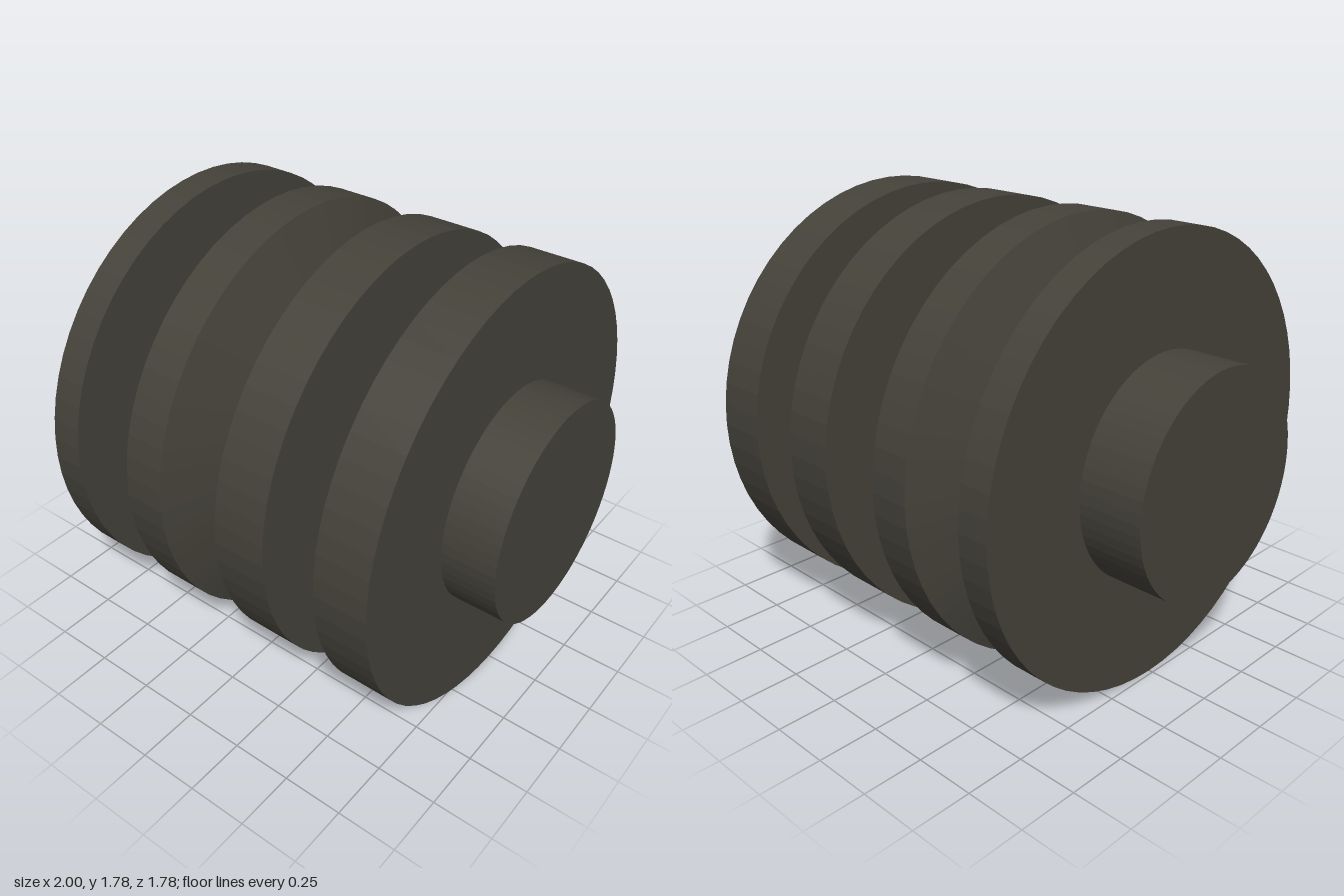
import * as THREE from 'three';

const SIDES = 64;
const DISC_R = 0.889;
const SHAFT_R = 0.4445;

export function createModel() {
  const group = new THREE.Group();
  const material = new THREE.MeshStandardMaterial({ color: 0x45423a, flatShading: true });

  // Round section along x from x0 (radius r0) to x1 (radius r1)
  function section(name, x0, x1, r0, r1 = r0, open = false, parent = group) {
    const geometry = new THREE.CylinderGeometry(r1, r0, x1 - x0, SIDES, 1, open);
    geometry.rotateZ(-Math.PI / 2);
    geometry.translate((x0 + x1) / 2, DISC_R, 0);
    const mesh = new THREE.Mesh(geometry, material);
    mesh.name = name;
    parent.add(mesh);
  }

  // Shaft running the full length
  section('shaft', -1, 1, SHAFT_R);

  // Flat discs
  section('thinDisc', -0.733, -0.6, DISC_R);
  section('middleDisc', 0.111, 0.333, DISC_R);
  section('endDisc', 0.556, 0.778, DISC_R);

  // Bevelled disc: flat rim with a cone on each side down to the shaft
  const bevelled = new THREE.Group();
  bevelled.name = 'bevelledDisc';
  section('rightCone', -0.467, -0.333, SHAFT_R, DISC_R, true, bevelled);
  section('rim', -0.333, -0.16, DISC_R, DISC_R, true, bevelled);
  section('leftCone', -0.16, -0.022, DISC_R, SHAFT_R, true, bevelled);
  group.add(bevelled);

  return group;
}
